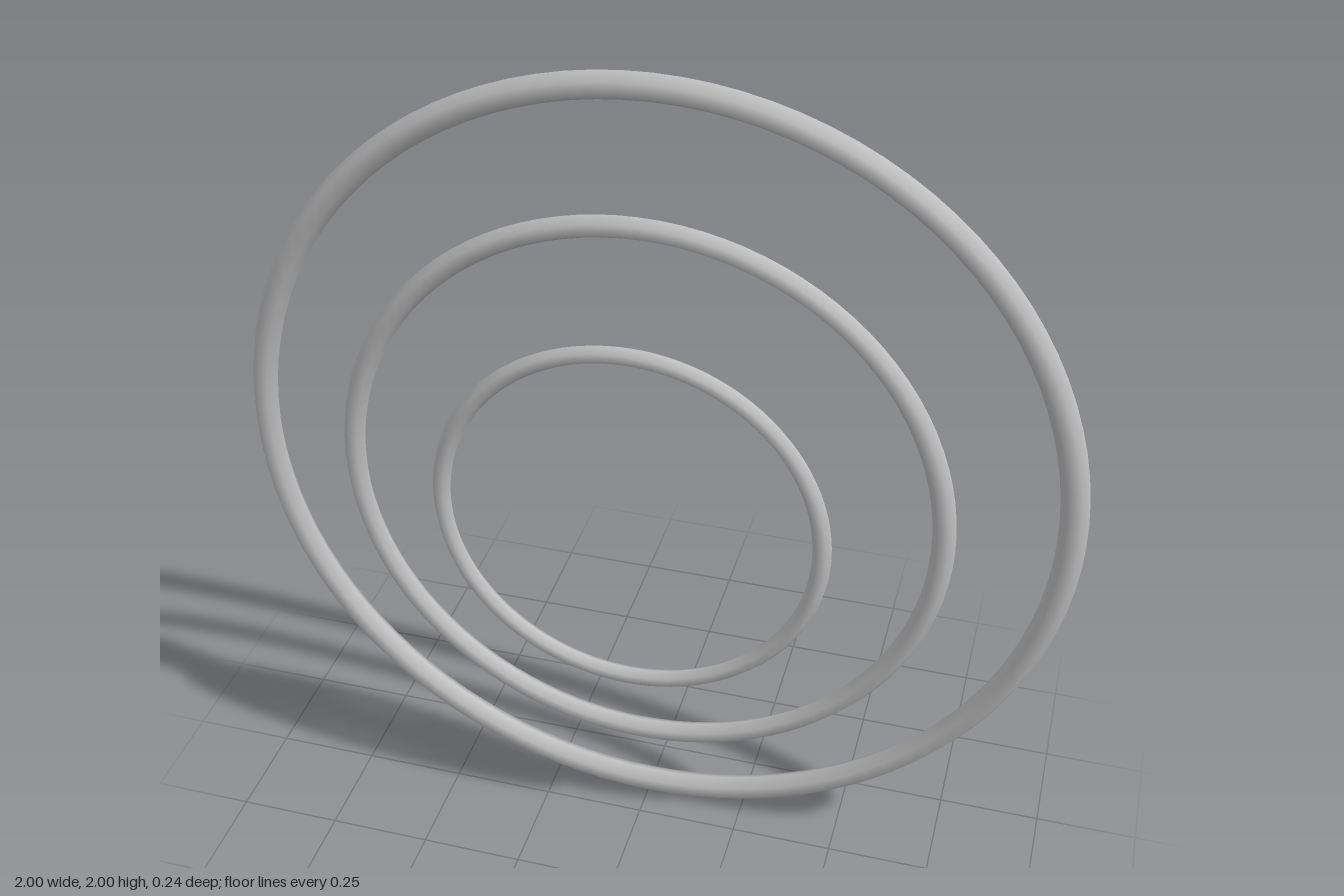
import * as THREE from 'three';

export function createModel() {
  const group = new THREE.Group();
  const grey = new THREE.MeshStandardMaterial({ color: 0xc0c0c0 });
  grey.name = 'light grey';

  // Three concentric hoops with six-sided tubes, stepping forward as they shrink
  const rings = [
    { name: 'outerRing', radius: 0.968, tube: 0.032, z: -0.092 },
    { name: 'middleRing', radius: 0.697, tube: 0.0265, z: 0.005 },
    { name: 'innerRing', radius: 0.444, tube: 0.0215, z: 0.101 },
  ];
  for (const { name, radius, tube, z } of rings) {
    const ring = new THREE.Mesh(new THREE.TorusGeometry(radius, tube, 6, 100), grey);
    ring.name = name;
    ring.position.set(0, 1, z);
    group.add(ring);
  }
  return group;
}
